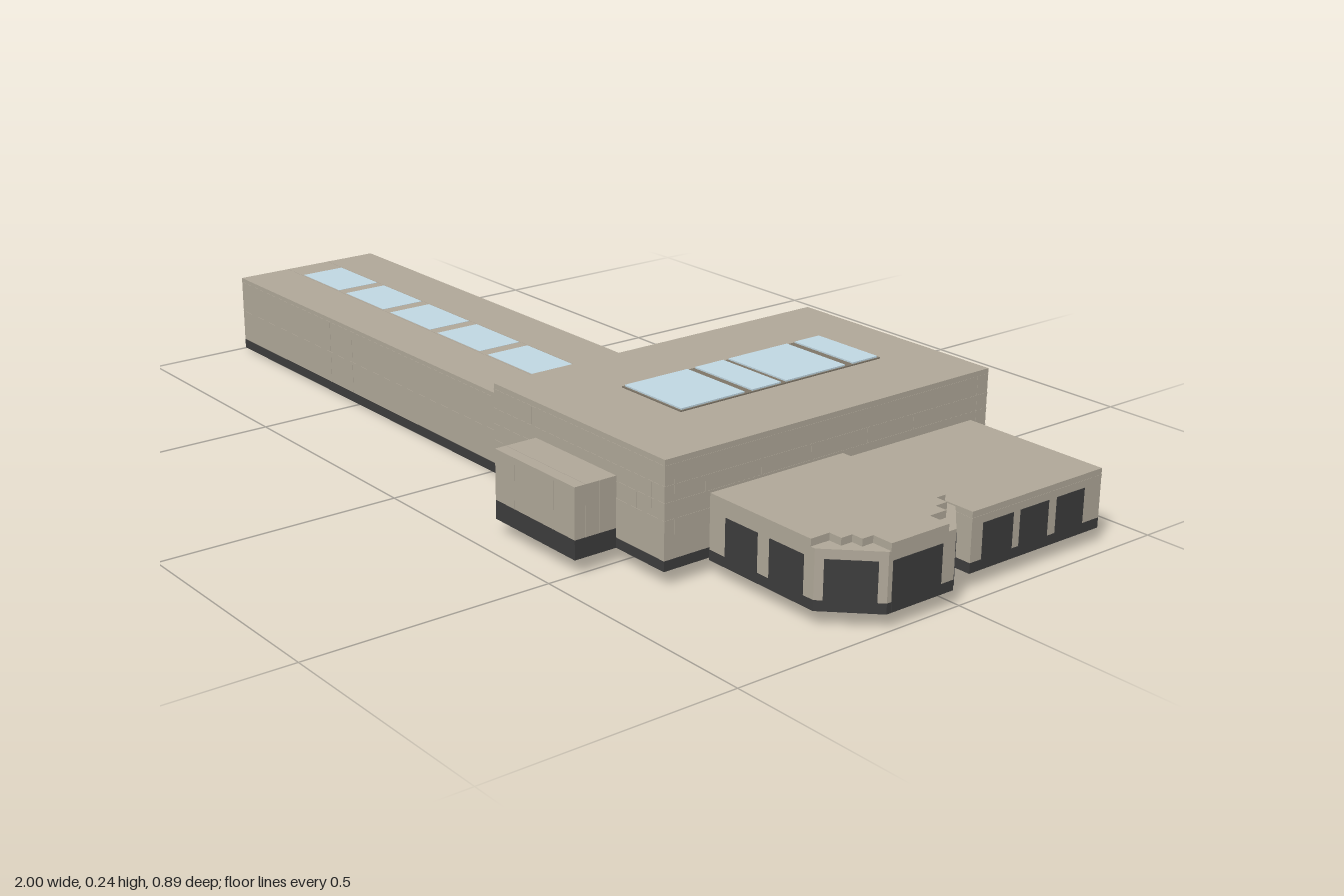
import * as THREE from 'three';

const mat = (name, color) => {
  const m = new THREE.MeshStandardMaterial({ color });
  m.name = name;
  return m;
};

export function createModel() {
  const stone = mat('stone', 0xafa798);
  const dark = mat('darkBase', 0x3c3c3c);
  const floor = mat('greyFloor', 0x62605e);
  const trim = mat('skylightTrim', 0x7d7567);
  const glass = mat('skylightGlass', 0xbfd6e1);
  const root = new THREE.Group();

  const add = (parent, name, geo, m) => {
    const mesh = new THREE.Mesh(geo, m);
    mesh.name = name;
    parent.add(mesh);
    return mesh;
  };
  const group = (name) => {
    const g = new THREE.Group();
    g.name = name;
    root.add(g);
    return g;
  };
  // box given by its limits
  const box = (parent, name, m, x0, x1, y0, y1, z0, z1) => {
    const geo = new THREE.BoxGeometry(x1 - x0, y1 - y0, z1 - z0);
    geo.translate((x0 + x1) / 2, (y0 + y1) / 2, (z0 + z1) / 2);
    return add(parent, name, geo, m);
  };
  // floor plan of [x, z] corners raised from y0 to y1
  const plan = (parent, name, m, pts, y0, y1) => {
    const shape = new THREE.Shape(pts.map(([x, z]) => new THREE.Vector2(x, -z)));
    const geo = new THREE.ExtrudeGeometry(shape, { depth: y1 - y0, bevelEnabled: false });
    geo.rotateX(-Math.PI / 2);
    geo.translate(0, y0, 0);
    return add(parent, name, geo, m);
  };
  // thin raised stone joints running round a block
  const e = 0.0005, w = 0.001;
  const courses = (parent, ys, x0, x1, z0, z1) => ys.forEach((y) =>
    box(parent, 'courseJoint', stone, x0 - e, x1 + e, y - w, y + w, z0 - e, z1 + e));
  const joints = (parent, list, z0, z1) => list.forEach(([x, y0, y1]) =>
    box(parent, 'uprightJoint', stone, x - w, x + w, y0, y1, z0 - e, z1 + e));
  const sideJoints = (parent, list, x0, x1) => list.forEach(([z, y0, y1]) =>
    box(parent, 'uprightJoint', stone, x0 - e, x1 + e, y0, y1, z - w, z + w));

  // long low gallery
  const wing = group('galleryWing');
  box(wing, 'galleryBase', dark, -1, 0.12, 0.001, 0.022, -0.075, 0.272);
  box(wing, 'galleryFloor', floor, -0.988, 0.108, 0, 0.002, -0.063, 0.26);
  box(wing, 'galleryWalls', stone, -1, 0.12, 0.022, 0.169, -0.075, 0.272);
  box(wing, 'gallerySill', stone, 0.119, 0.122, 0.002, 0.022, 0.035, 0.17);
  courses(wing, [0.09, 0.159], -1, 0.12, -0.075, 0.272);
  joints(wing, [[-0.61, 0.022, 0.159], [-0.52, 0.022, 0.159], [0.03, 0.022, 0.159]], -0.075, 0.272);
  for (const z of [0.043, 0.15]) box(wing, 'roofJoint', stone, -1, 0.12, 0.168, 0.1695, z - w, z + w);
  for (let i = 0; i < 5; i++) {
    const x = -0.933 + i * 0.186;
    box(wing, 'gallerySkylight', glass, x, x + 0.157, 0.168, 0.1697, 0.046, 0.147);
  }

  // tall central hall
  const hall = group('centralHall');
  box(hall, 'hallBase', dark, 0.13, 0.637, 0.03, 0.05, -0.448, 0.353);
  box(hall, 'hallWalls', stone, 0.13, 0.637, 0.05, 0.238, -0.448, 0.353);
  courses(hall, [0.124, 0.157, 0.188, 0.226], 0.13, 0.637, -0.448, 0.353);
  joints(hall, [[0.25, 0.188, 0.226], [0.56, 0.09, 0.157], [0.6, 0.124, 0.188]], -0.448, 0.353);
  sideJoints(hall, [[0.33, 0.09, 0.226], [0.26, 0.157, 0.188], [0.13, 0.157, 0.188], [0.01, 0.157, 0.188],
    [-0.13, 0.157, 0.188], [-0.25, 0.157, 0.188], [-0.42, 0.05, 0.226]], 0.13, 0.637);
  box(hall, 'skylightTrim', trim, 0.297, 0.468, 0.238, 0.2405, -0.325, 0.178);
  for (const [z0, z1] of [[-0.32, -0.255], [-0.234, -0.082], [-0.068, 0.003], [0.022, 0.174]])
    box(hall, 'hallSkylight', glass, 0.3, 0.465, 0.24, 0.2435, z0, z1);
  // grey floor with paler stone panels under the hall
  box(hall, 'hallFloor', floor, 0.155, 0.612, 0.029, 0.031, -0.423, 0.328);
  box(hall, 'floorStrip', stone, 0.3, 0.47, 0.0283, 0.03, -0.36, 0.27);
  box(hall, 'floorCross', stone, 0.2, 0.57, 0.0278, 0.03, -0.13, 0.05);

  // front porch
  const porch = group('frontPorch');
  box(porch, 'porchBase', dark, 0.263, 0.503, 0.03, 0.068, 0.35, 0.445);
  box(porch, 'porchFloor', floor, 0.28, 0.486, 0.029, 0.031, 0.36, 0.428);
  box(porch, 'porchWalls', stone, 0.263, 0.503, 0.068, 0.168, 0.35, 0.445);
  joints(porch, [[0.322, 0.068, 0.168], [0.44, 0.068, 0.168]], 0.36, 0.445);
  sideJoints(porch, [[0.42, 0.068, 0.168], [0.39, 0.068, 0.168]], 0.263, 0.503);
  box(porch, 'porchRoofJoint', stone, 0.263, 0.503, 0.167, 0.1685, 0.419, 0.421);

  // passages between the blocks and the side doorway
  const links = group('passages');
  box(links, 'galleryPassage', dark, 0.115, 0.135, 0.03, 0.13, 0.03, 0.163);
  box(links, 'sideDoorway', dark, 0.094, 0.135, 0.03, 0.129, -0.222, -0.09);
  box(links, 'sideDoorwayRoof', floor, 0.096, 0.13, 0.129, 0.131, -0.21, -0.102);
  for (const [z0, z1] of [[-0.222, -0.09], [0.03, 0.163]])
    box(links, 'annexPassage', dark, 0.63, 0.65, 0.03, 0.13, z0, z1);

  // rear annex
  const annex = group('rearAnnex');
  box(annex, 'annexBase', dark, 0.645, 0.965, 0.03, 0.05, -0.397, -0.06);
  box(annex, 'annexFloor', stone, 0.675, 0.935, 0.029, 0.031, -0.365, -0.09);
  box(annex, 'annexWalls', stone, 0.645, 0.965, 0.05, 0.146, -0.397, -0.06);
  courses(annex, [0.133], 0.645, 0.965, -0.397, -0.06);
  for (const [z0, z1] of [[-0.165, -0.088], [-0.257, -0.183], [-0.352, -0.278]])
    box(annex, 'annexWindow', dark, 0.96, 0.966, 0.048, 0.119, z0, z1);

  // bay with cut corners
  const bay = group('bayAnnex');
  const outline = [[0.645, -0.06], [0.925, -0.06], [0.995, 0.012], [0.995, 0.17], [0.91, 0.257], [0.645, 0.257]];
  plan(bay, 'bayBase', dark, outline, 0.03, 0.05);
  plan(bay, 'bayFloor', floor, outline.map(([x, z]) => [0.82 + (x - 0.82) * 0.87, 0.098 + (z - 0.098) * 0.87]),
    0.029, 0.031);
  plan(bay, 'bayWalls', stone, outline, 0.05, 0.143);
  plan(bay, 'bayRoof', stone, [[0.645, -0.06], [0.9, -0.06], [0.9, -0.038], [0.925, -0.038], [0.925, -0.01],
    [0.95, -0.01], [0.95, 0.03], [0.995, 0.03], [0.995, 0.165], [0.952, 0.165], [0.952, 0.19], [0.928, 0.19],
    [0.928, 0.215], [0.9, 0.215], [0.9, 0.257], [0.645, 0.257]], 0.143, 0.157);
  for (const [x0, x1] of [[0.687, 0.77], [0.8, 0.885]])
    box(bay, 'frontWindow', dark, x0, x1, 0.048, 0.124, 0.252, 0.258);
  box(bay, 'endWindow', dark, 0.99, 0.996, 0.032, 0.125, 0.043, 0.16);
  // windows on the cut corners
  for (const [a, b] of [[outline[1], outline[2]], [outline[3], outline[4]]]) {
    const dx = b[0] - a[0], dz = b[1] - a[1], len = Math.hypot(dx, dz);
    const pane = add(bay, 'cornerWindow', new THREE.BoxGeometry(len * 0.74, 0.093, 0.003), dark);
    pane.position.set((a[0] + b[0]) / 2, 0.0785, (a[1] + b[1]) / 2);
    pane.rotation.y = -Math.atan2(dz, dx);
  }

  return root;
}
